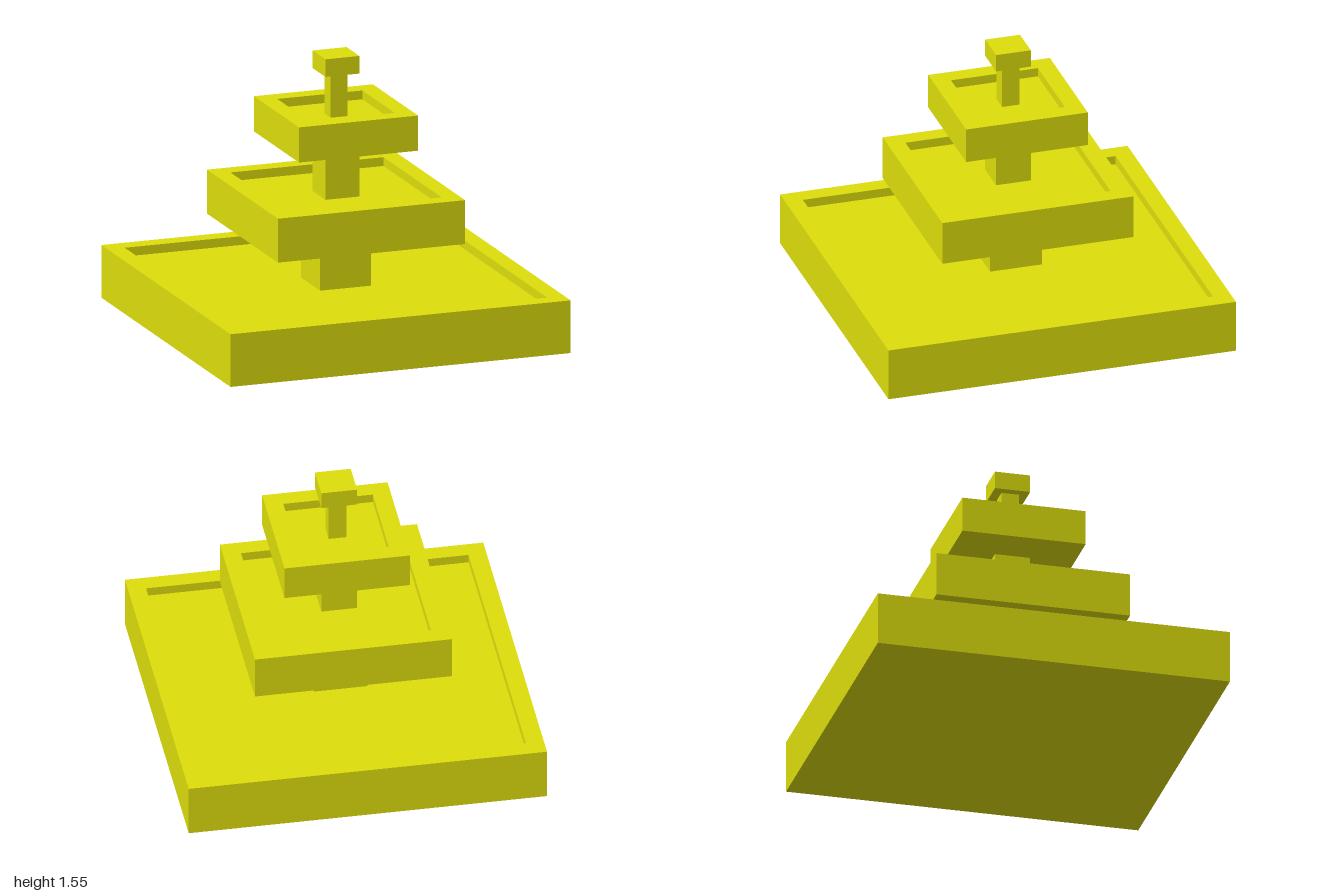
import * as THREE from 'three';

const material = new THREE.MeshStandardMaterial({ color: 0xdddd0c, flatShading: true });
const RIM = 0.1;   // width of each basin's rim
const DEPTH = 0.05; // how far each basin floor is sunk

// Square basin: a four-sided lathe of the tray's half cross-section
function basin(name, half, bottom, top) {
  const inner = half - RIM, floor = top - DEPTH;
  const profile = [[0, bottom], [half, bottom], [half, top], [inner, top], [inner, floor], [0, floor]]
    .map(([r, y]) => new THREE.Vector2(r * Math.SQRT2, y));
  const geometry = new THREE.LatheGeometry(profile, 4, Math.PI / 4).toNonIndexed();
  geometry.computeVertexNormals();
  const mesh = new THREE.Mesh(geometry, material);
  mesh.name = name;
  return mesh;
}

// Square block standing between two heights
function block(name, half, bottom, top) {
  const mesh = new THREE.Mesh(new THREE.BoxGeometry(half * 2, top - bottom, half * 2), material);
  mesh.position.y = (bottom + top) / 2;
  mesh.name = name;
  return mesh;
}

export function createModel() {
  const fountain = new THREE.Group();
  fountain.name = 'tieredFountain';

  // Each tier: basin half-width, bottom, top, then the pillar rising from its floor
  const tiers = [
    { tier: 'lower', half: 1, bottom: 0, top: 0.3, pillarHalf: 0.15, pillarTop: 0.55 },
    { tier: 'middle', half: 0.55, bottom: 0.55, top: 0.8, pillarHalf: 0.1, pillarTop: 1.05 },
    { tier: 'upper', half: 0.35, bottom: 1.05, top: 1.25, pillarHalf: 0.05, pillarTop: 1.45 },
  ];
  for (const t of tiers) {
    fountain.add(
      basin(t.tier + 'Basin', t.half, t.bottom, t.top),
      block(t.tier + 'Pillar', t.pillarHalf, t.top - DEPTH, t.pillarTop),
    );
  }

  // Cap on the topmost pillar
  fountain.add(block('cap', 0.1, 1.45, 1.55));
  return fountain;
}
